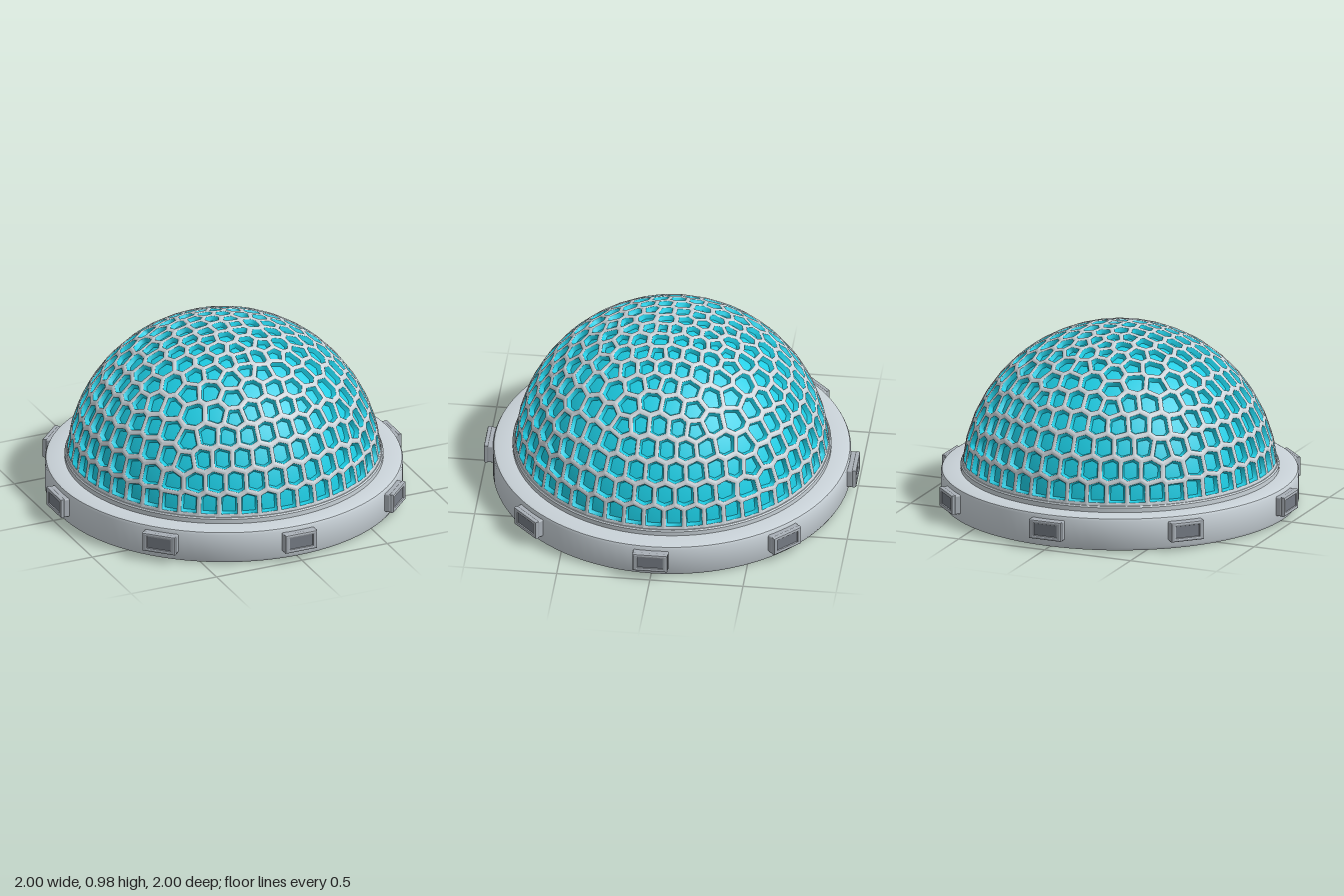
import * as THREE from 'three';
import { ConvexGeometry } from 'three/addons/geometries/ConvexGeometry.js';
import { RoundedBoxGeometry } from 'three/addons/geometries/RoundedBoxGeometry.js';
import { toCreasedNormals } from 'three/addons/utils/BufferGeometryUtils.js';

const R = 0.845, CY = 0.135;      // dome sphere radius and centre height
const RIM = 1.47, STEP = 0.15;    // polar angle of the dome's lower edge, row spacing
const polar = (t, a) => new THREE.Vector3().setFromSphericalCoords(1, t, a);

// Cell centres on the unit sphere: rows round the dome, a squarer patch on top
function cellSeeds() {
  const fixed = [], ghosts = [], free = [];
  for (let k = 0; k < 6; k++) {
    const t = RIM - STEP * (k + 0.5);
    const n = 4 * Math.round(2 * Math.PI * Math.sin(t) / 0.13 / 4);
    for (let i = 0; i < n; i++) {
      const a = (i + (k % 2) / 2) / n * Math.PI * 2;
      (k ? free : fixed).push(polar(t, a));
      if (k === 0) ghosts.push(polar(RIM + STEP / 2, a)); // mirrored row gives a straight rim
    }
  }
  const columns = [0.048, 0.145, 0.255, 0.375, 0.49];
  columns.forEach((x, c) => {
    for (const s of [-1, 1]) {
      for (let j = -6; j <= 6; j++) {
        const z = (j + (c === 3 ? 0 : 0.5)) * 0.11;
        const r2 = x * x + z * z;
        if (r2 < 0.27) free.push(new THREE.Vector3(s * x, Math.sqrt(1 - r2), z));
      }
    }
  });
  // Slight irregularity
  free.forEach((p, i) => {
    p.x += 0.008 * Math.sin(i * 12.9);
    p.z += 0.008 * Math.sin(i * 7.3 + 1);
    p.normalize();
  });
  return { fixed, ghosts, free };
}

// Voronoi cells: hull face normals are the corners round each seed
function voronoi(points) {
  const key = (x, y, z) => [x, y, z].map(v => Math.round(v * 1e4)).join();
  const hull = new ConvexGeometry(points);
  const p = hull.attributes.position, n = hull.attributes.normal;
  const corners = new Map();
  for (let i = 0; i < p.count; i++) {
    const k = key(p.getX(i), p.getY(i), p.getZ(i));
    if (!corners.has(k)) corners.set(k, []);
    corners.get(k).push(new THREE.Vector3().fromBufferAttribute(n, i).normalize());
  }
  return points.map(s => {
    const u = new THREE.Vector3(0, 1, 0).cross(s).normalize();
    const v = s.clone().cross(u);
    const list = corners.get(key(s.x, s.y, s.z)) || [];
    const angle = c => Math.atan2(c.dot(v), c.dot(u));
    list.sort((a, b) => angle(a) - angle(b));
    return list.filter((c, i) => c.distanceTo(list[(i + 1) % list.length]) > 0.002);
  });
}

const centreOf = cell => cell.reduce((s, c) => s.add(c), new THREE.Vector3()).divideScalar(cell.length);

// Relaxed cells of the dome
function domeCells() {
  const { fixed, ghosts, free } = cellSeeds();
  const all = () => [...free, ...fixed, ...ghosts];
  for (let pass = 0; pass < 4; pass++) {
    voronoi(all()).slice(0, free.length).forEach((cell, i) => {
      if (cell.length > 2) free[i] = centreOf(cell).normalize();
    });
  }
  return voronoi(all()).slice(0, free.length + fixed.length).filter(cell => cell.length > 2);
}

// Sweep a section of [inset from the cell border, depth below the surface] round every cell
function cellBands(cells, section) {
  const pos = [], index = [];
  for (const cell of cells) {
    const m = cell.length, base = pos.length / 3;
    const c = centreOf(cell);
    const apothem = Math.min(...cell.map((v, i) =>
      v.clone().add(cell[(i + 1) % m]).multiplyScalar(0.5).distanceTo(c)));
    section.forEach(([inset, depth], l) => {
      cell.forEach((v, i) => {
        const q = v.clone().lerp(c, Math.min(0.7, inset / R / apothem)).setLength(R - depth);
        pos.push(q.x, q.y + CY, q.z);
        if (l === 0) return;
        const j = (i + 1) % m, o = base + (l - 1) * m, n = base + l * m;
        index.push(o + i, o + j, n + j, o + i, n + j, n + i);
      });
    });
  }
  const g = new THREE.BufferGeometry();
  g.setAttribute('position', new THREE.Float32BufferAttribute(pos, 3));
  g.setIndex(index);
  g.computeVertexNormals();
  return g;
}

export function createModel() {
  const material = (name, color) => Object.assign(new THREE.MeshStandardMaterial({ color }), { name });
  const grey = material('light grey metal', 0xcad3d9);
  const mid = material('mid grey metal', 0xa9b0b7);
  const dark = material('dark grey metal', 0x777d86);
  const teal = material('teal glass', 0x1ccde4);

  const model = new THREE.Group();
  model.name = 'honeycombDome';
  const add = (parent, name, geometry, mat) => {
    const mesh = new THREE.Mesh(geometry, mat);
    mesh.name = name;
    parent.add(mesh);
    return mesh;
  };
  const lathe = points => toCreasedNormals(
    new THREE.LatheGeometry(points.map(p => new THREE.Vector2(...p)), 96), 0.6);

  // Round plinth with a soft edge and a raised collar
  add(model, 'base', lathe([[0, 0], [0.925, 0], [0.946, 0.006], [0.955, 0.022], [0.955, 0.168],
    [0.949, 0.181], [0.935, 0.186], [0.85, 0.187], [0.85, 0.212], [0.844, 0.219], [0.79, 0.219]]), grey);

  // Glass dome, honeycomb ribs and the glazed sides of each cell
  const glass = add(model, 'glassDome',
    new THREE.SphereGeometry(0.815, 96, 40, 0, Math.PI * 2, 0, RIM), teal);
  glass.position.y = CY;
  const cells = domeCells();
  add(model, 'honeycombRibs', cellBands(cells, [[0, 0], [0.008, 0.001], [0.0115, 0.005]]), grey);
  add(model, 'cellSides', cellBands(cells, [[0.0115, 0.005], [0.02, 0.034]]), teal);

  // Eight framed blocks around the plinth
  const frame = new THREE.Shape();
  frame.moveTo(-0.085, -0.045).lineTo(0.085, -0.045).lineTo(0.085, 0.045).lineTo(-0.085, 0.045).closePath();
  const hole = new THREE.Path();
  hole.moveTo(-0.074, -0.04).lineTo(-0.074, 0.04).lineTo(0.074, 0.04).lineTo(0.074, -0.04).closePath();
  frame.holes.push(hole);
  const frameGeometry = new THREE.ExtrudeGeometry(frame, {
    depth: 0.012, bevelEnabled: true, bevelThickness: 0.008, bevelSize: 0.008, bevelSegments: 2 });
  const blockGeometry = new RoundedBoxGeometry(0.19, 0.106, 0.06, 2, 0.008);
  const panelGeometry = new THREE.BoxGeometry(0.144, 0.076, 0.008);
  for (let i = 0; i < 8; i++) {
    const block = new THREE.Group();
    block.name = 'sideBlock';
    block.rotation.y = i * Math.PI / 4;
    model.add(block);
    add(block, 'blockBody', blockGeometry, mid).position.set(0, 0.106, 0.952);
    add(block, 'blockFrame', frameGeometry, mid).position.set(0, 0.106, 0.98);
    add(block, 'blockPanel', panelGeometry, dark).position.set(0, 0.106, 0.988);
  }
  return model;
}
